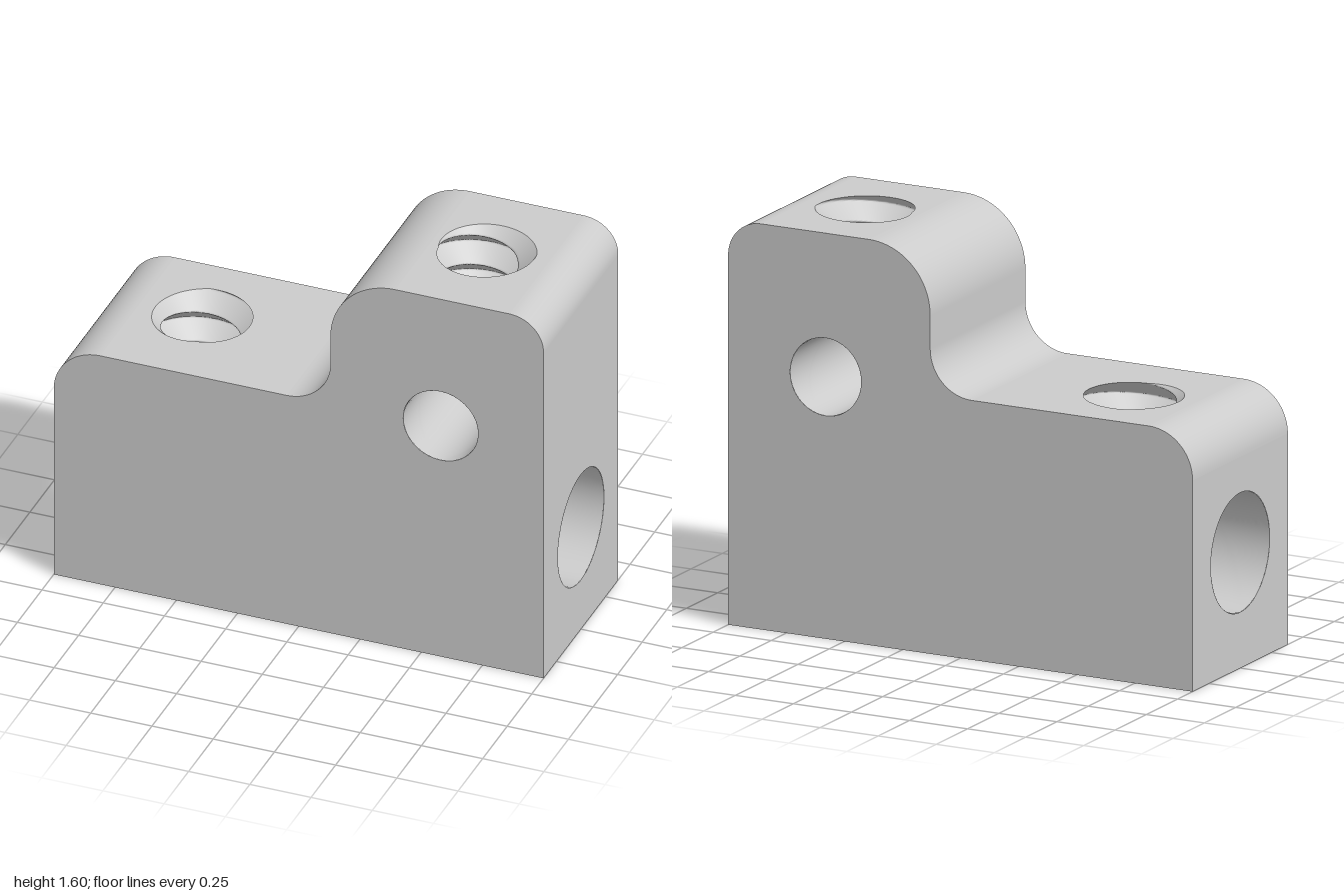
import * as THREE from 'three';
import { mergeVertices } from 'three/addons/utils/BufferGeometryUtils.js';

const W = 0.38;                                   // half depth of the block
const SIDE = 36;                                  // samples per quarter turn
const BORE = { y: 0.455, r: 0.235 };              // long hole along x
const CROSS = { x: 0.58, y: 1.03, r: 0.153 };     // short hole along z
const THREAD = { depth: 0.075, pitch: 0.13 };
const LEFT = { x: -0.55, top: 1.02, r: 0.153, start: 1.8, end: BORE.y + BORE.r };
const RIGHT = { x: 0.58, top: 1.595, r: 0.151, start: 0.25, end: CROSS.y + CROSS.r };

const material = new THREE.MeshStandardMaterial({ color: 0xcccccc, side: THREE.DoubleSide });

// Surface from a grid of points f(i, j)
function grid(ni, nj, f) {
  const pos = [], index = [];
  for (let j = 0; j <= nj; j++) for (let i = 0; i <= ni; i++) pos.push(...f(i, j));
  for (let j = 0; j < nj; j++) for (let i = 0; i < ni; i++) {
    const a = j * (ni + 1) + i, b = a + 1, c = a + ni + 1, d = c + 1;
    index.push(a, b, c, b, d, c);
  }
  const g = new THREE.BufferGeometry();
  g.setAttribute('position', new THREE.Float32BufferAttribute(pos, 3));
  g.setIndex(index);
  const merged = mergeVertices(g, 1e-5);
  merged.computeVertexNormals();
  return merged;
}

const angleAt = (i) => -Math.PI / 4 + (i / SIDE) * (Math.PI / 2);

// Rectangle in (u, v) with a hole, mapped into space
function plate([u0, u1, v0, v1], hole, map, rows = 1) {
  const corners = [[u1, v0], [u1, v1], [u0, v1], [u0, v0]];
  return grid(4 * SIDE, rows, (i, j) => {
    const k = Math.floor(i / SIDE) % 4, f = (i % SIDE) / SIDE, t = j / rows;
    const p = corners[k], q = corners[(k + 1) % 4];
    const [hu, hv] = hole(angleAt(i));
    const u = p[0] + (q[0] - p[0]) * f, v = p[1] + (q[1] - p[1]) * f;
    return map(u + (hu - u) * t, v + (hv - v) * t);
  });
}

// Profile points swept across the depth
const strip = (pts) => grid(pts.length - 1, 1, (i, j) => [pts[i][0], pts[i][1], j ? W : -W]);

function arc(cx, cy, r, a0, a1, n = 20) {
  return Array.from({ length: n + 1 }, (_, i) => {
    const a = (a0 + ((a1 - a0) * i) / n) * Math.PI;
    return [cx + r * Math.cos(a), cy + r * Math.sin(a)];
  });
}

// Radius of a threaded hole: V groove winding up, running out at the lower end
function threadRadius(h, a, y) {
  const turn = (y - h.top) / THREAD.pitch - (a - h.start) / (2 * Math.PI);
  const v = 1 - 2 * Math.abs(turn - Math.round(turn));
  const fade = THREE.MathUtils.smoothstep(y, h.end, h.end + 0.05);
  return h.r + THREAD.depth * v * fade;
}

// Threaded wall from the top face down to the curved wall of the hole below
function threadedWall(h, floor) {
  const rows = 90;
  return grid(4 * SIDE, rows, (i, j) => {
    const a = angleAt(i), y = h.top + (floor(a) - h.top) * (j / rows);
    const r = threadRadius(h, a, y);
    return [h.x + r * Math.cos(a), y, -r * Math.sin(a)];
  });
}

export function createModel() {
  const group = new THREE.Group();
  const add = (name, geometry) => {
    const mesh = new THREE.Mesh(geometry, material);
    mesh.name = name;
    group.add(mesh);
    return mesh;
  };

  // Rounded corners of the stepped profile, counter-clockwise from the front
  const topRight = arc(0.86, 1.455, 0.14, 0, 0.5);
  const step = [...arc(0.395, 1.33, 0.265, 0.5, 1), ...arc(-0.05, 1.2, 0.18, 0, -0.5)];
  const topLeft = arc(-0.81, 0.83, 0.19, 0.5, 1);

  // Front and back faces with the cross hole
  const outline = [[-1, 0], [1, 0], ...topRight, ...step, ...topLeft];
  const face = new THREE.Shape(outline.map((p) => new THREE.Vector2(...p)));
  face.holes.push(new THREE.Path().absarc(CROSS.x, CROSS.y, CROSS.r, 0, Math.PI * 2, true));
  add('frontFace', new THREE.ShapeGeometry(face, 48)).position.z = W;
  const backGeometry = new THREE.ShapeGeometry(face, 48);
  backGeometry.index.array.reverse();
  backGeometry.computeVertexNormals();
  add('backFace', backGeometry).position.z = -W;

  // Bottom and rounded edges
  add('bottomFace', strip([[-1, 0], [1, 0]]));
  add('upperRoundedEdge', strip(topRight));
  add('stepCurve', strip(step));
  add('lowerRoundedEdge', strip(topLeft));

  // End faces with the bore openings
  const boreRim = (a) => [BORE.r * Math.cos(a), BORE.y + BORE.r * Math.sin(a)];
  add('leftEndFace', plate([-W, W, 0, 1.455], boreRim, (u, v) => [1, v, -u]));
  add('rightEndFace', plate([-W, W, 0, 0.83], boreRim, (u, v) => [-1, v, u]));

  // Top faces with the threaded hole openings
  const topFace = (h, u0, u1) => plate([u0, u1, -W, W], (a) => {
    const r = threadRadius(h, a, h.top);
    return [h.x + r * Math.cos(a), r * Math.sin(a)];
  }, (u, v) => [u, h.top, -v]);
  add('upperTopFace', topFace(RIGHT, 0.395, 0.86));
  add('lowerTopFace', topFace(LEFT, -0.81, -0.05));

  // Bore and cross hole walls, each opened where a threaded hole enters
  add('longBore', plate([-1, 1, -Math.PI, Math.PI],
    (a) => [LEFT.x + LEFT.r * Math.cos(a), Math.asin((LEFT.r * Math.sin(a)) / BORE.r)],
    (u, v) => [u, BORE.y + BORE.r * Math.cos(v), BORE.r * Math.sin(v)], 28));
  add('crossHole', plate([-W, W, -Math.PI, Math.PI],
    (a) => [RIGHT.r * Math.cos(a), Math.asin((RIGHT.r * Math.sin(a)) / CROSS.r)],
    (u, v) => [CROSS.x - CROSS.r * Math.sin(v), CROSS.y + CROSS.r * Math.cos(v), u], 28));

  // Threaded screw holes
  add('lowerScrewHole', threadedWall(LEFT,
    (a) => BORE.y + Math.sqrt(BORE.r ** 2 - (LEFT.r * Math.sin(a)) ** 2)));
  add('upperScrewHole', threadedWall(RIGHT,
    (a) => CROSS.y + Math.sqrt(CROSS.r ** 2 - (RIGHT.r * Math.cos(a)) ** 2)));

  return group;
}
